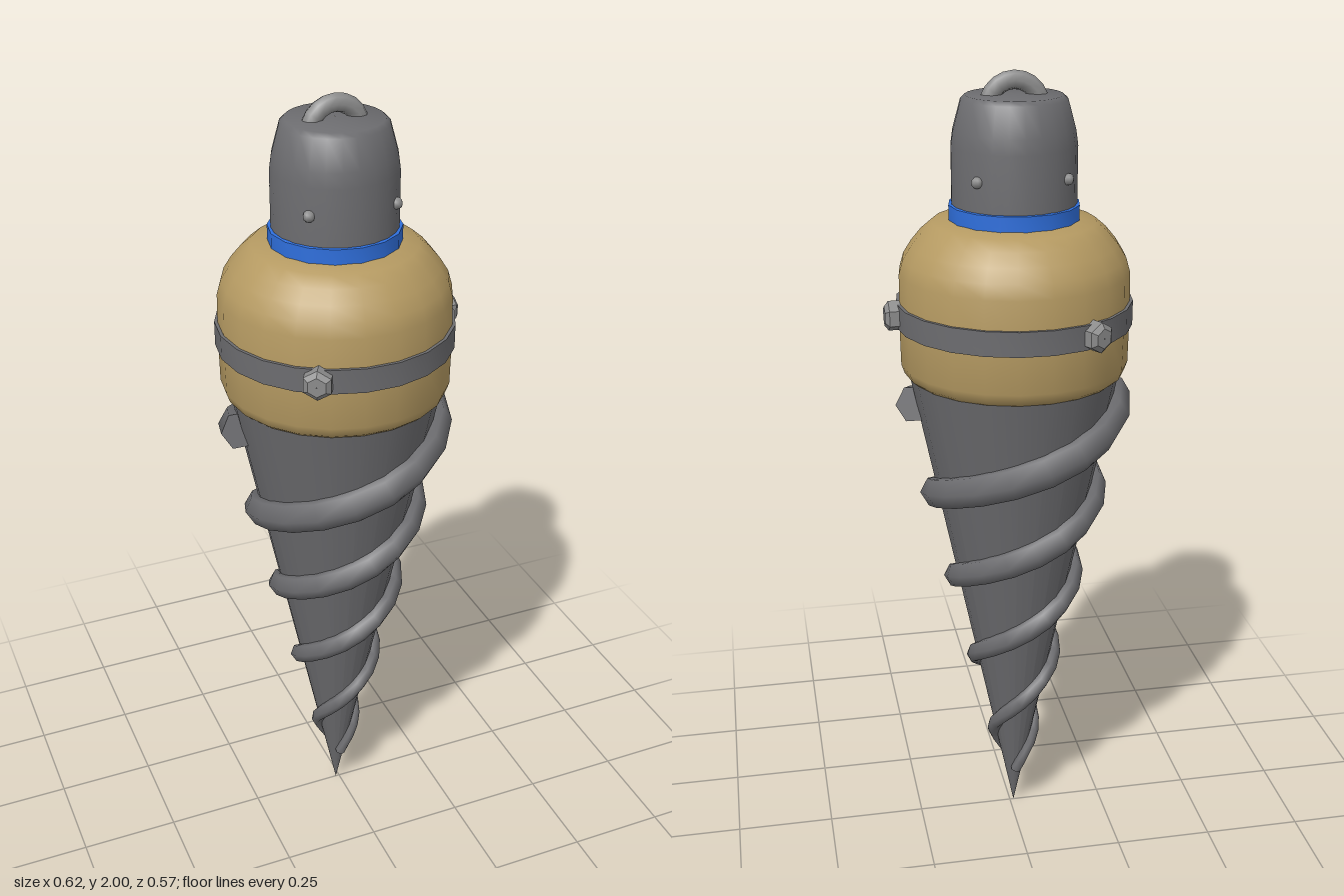
import * as THREE from 'three';
import { toCreasedNormals } from 'three/addons/utils/BufferGeometryUtils.js';

const paint = (color) => new THREE.MeshStandardMaterial({ color });
const steel = paint(0x6c6c6f), lightSteel = paint(0x8c8c8c);
const tan = paint(0xb59a62), blue = paint(0x2f6fdc);

function addMesh(parent, name, geometry, material) {
  const mesh = new THREE.Mesh(geometry, material);
  mesh.name = name;
  parent.add(mesh);
  return mesh;
}

// Turned part from [radius, height] pairs, with a corner of the polygon on +x
function turned(points, sides) {
  const profile = points.map(([r, y]) => new THREE.Vector2(r, y));
  return toCreasedNormals(new THREE.LatheGeometry(profile, sides, Math.PI / 2), 0.8);
}

const CONE_R = 0.26, CONE_H = 1.275;
const coneRadius = (y) => (CONE_R * y) / CONE_H;

// Tapered hexagonal thread climbing the cone, ending at the given angle
function threadGeometry(endAngle) {
  const steps = 40, sides = 6, turns = 2.25, yLow = 0.12, yHigh = 1.2;
  const positions = [], index = [];
  const pointAt = (t) => {
    const angle = endAngle - (1 - t) * turns * Math.PI * 2;
    const y = THREE.MathUtils.lerp(yLow, yHigh, t);
    const r = coneRadius(y) + 0.005;
    return new THREE.Vector3(r * Math.sin(angle), y, r * Math.cos(angle));
  };
  for (let i = 0; i <= steps; i++) {
    const t = i / steps, p = pointAt(t);
    const tangent = pointAt(t + 0.001).sub(pointAt(t - 0.001)).normalize();
    const out = new THREE.Vector3(p.x, 0, p.z);
    out.addScaledVector(tangent, -out.dot(tangent)).normalize();
    const side = new THREE.Vector3().crossVectors(tangent, out);
    const size = THREE.MathUtils.lerp(0.014, 0.048, t);
    for (let j = 0; j < sides; j++) {
      const a = (j / sides) * Math.PI * 2;
      const v = p.clone().addScaledVector(out, size * Math.cos(a)).addScaledVector(side, size * Math.sin(a));
      positions.push(v.x, v.y, v.z);
    }
  }
  for (let i = 0; i < steps; i++) {
    for (let j = 0; j < sides; j++) {
      const a = i * sides + j, b = i * sides + ((j + 1) % sides);
      index.push(a, b, a + sides, b, b + sides, a + sides);
    }
  }
  // Flat end caps
  const last = steps * sides;
  for (let j = 1; j < sides - 1; j++) {
    index.push(0, j + 1, j, last, last + j, last + j + 1);
  }
  const geometry = new THREE.BufferGeometry();
  geometry.setAttribute('position', new THREE.Float32BufferAttribute(positions, 3));
  geometry.setIndex(index);
  return toCreasedNormals(geometry, 1.15);
}

export function createModel() {
  const model = new THREE.Group();
  model.name = 'drill';
  const body = new THREE.Group();
  body.name = 'drillBody';
  body.position.x = -0.01;
  model.add(body);

  // Pointed cone with two threads
  const cone = new THREE.ConeGeometry(CONE_R, CONE_H, 22);
  cone.rotateX(Math.PI).rotateY(Math.PI / 2).translate(0, CONE_H / 2, 0);
  addMesh(body, 'drillCone', cone, steel);
  for (const side of [1, -1]) {
    addMesh(body, side > 0 ? 'leftThread' : 'rightThread', threadGeometry((side * Math.PI) / 2), steel);
  }

  // Rounded housing and its band
  addMesh(body, 'housing', turned([
    [0.001, 1.272], [0.26, 1.272], [0.272, 1.282], [0.28, 1.305], [0.282, 1.42], [0.28, 1.53],
    [0.27, 1.565], [0.25, 1.597], [0.225, 1.627], [0.198, 1.65], [0.14, 1.66], [0.001, 1.66],
  ], 22), tan);
  addMesh(body, 'housingBand', turned([
    [0.27, 1.4], [0.289, 1.4], [0.289, 1.46], [0.27, 1.46],
  ], 22), steel);

  // Three chamfered hex bolts around the band
  for (let i = 0; i < 3; i++) {
    const holder = new THREE.Group();
    holder.name = 'bolt' + (i + 1);
    holder.rotation.y = (i * Math.PI * 2) / 3;
    body.add(holder);
    const shape = [[0.037, 0.26], [0.037, 0.308], [0.024, 0.318], [0.001, 0.318]];
    const bolt = new THREE.LatheGeometry(shape.map(([r, y]) => new THREE.Vector2(r, y)), 6, Math.PI / 2);
    bolt.rotateZ(-Math.PI / 2).translate(0, 1.43, 0);
    addMesh(holder, 'boltHead', toCreasedNormals(bolt, 0.4), lightSteel);
  }

  // Collar and cap
  addMesh(body, 'collar', turned([
    [0.14, 1.652], [0.158, 1.655], [0.158, 1.693], [0.14, 1.696],
  ], 16), blue);
  addMesh(body, 'cap', turned([
    [0.15, 1.655], [0.15, 1.83], [0.145, 1.865], [0.126, 1.935], [0.115, 1.945], [0.001, 1.946],
  ], 24), steel);

  // Four rivets on the cap
  for (let i = 0; i < 4; i++) {
    const angle = Math.PI / 4 + (i * Math.PI) / 2;
    const rivet = addMesh(body, 'rivet' + (i + 1), new THREE.SphereGeometry(0.014, 8, 6), lightSteel);
    rivet.position.set(0.151 * Math.cos(angle), 1.765, 0.151 * Math.sin(angle));
  }

  // Lifting loop on top
  const loop = addMesh(body, 'liftingLoop', new THREE.TorusGeometry(0.063, 0.022, 8, 10, Math.PI), lightSteel);
  loop.position.y = 1.915;

  return model;
}
